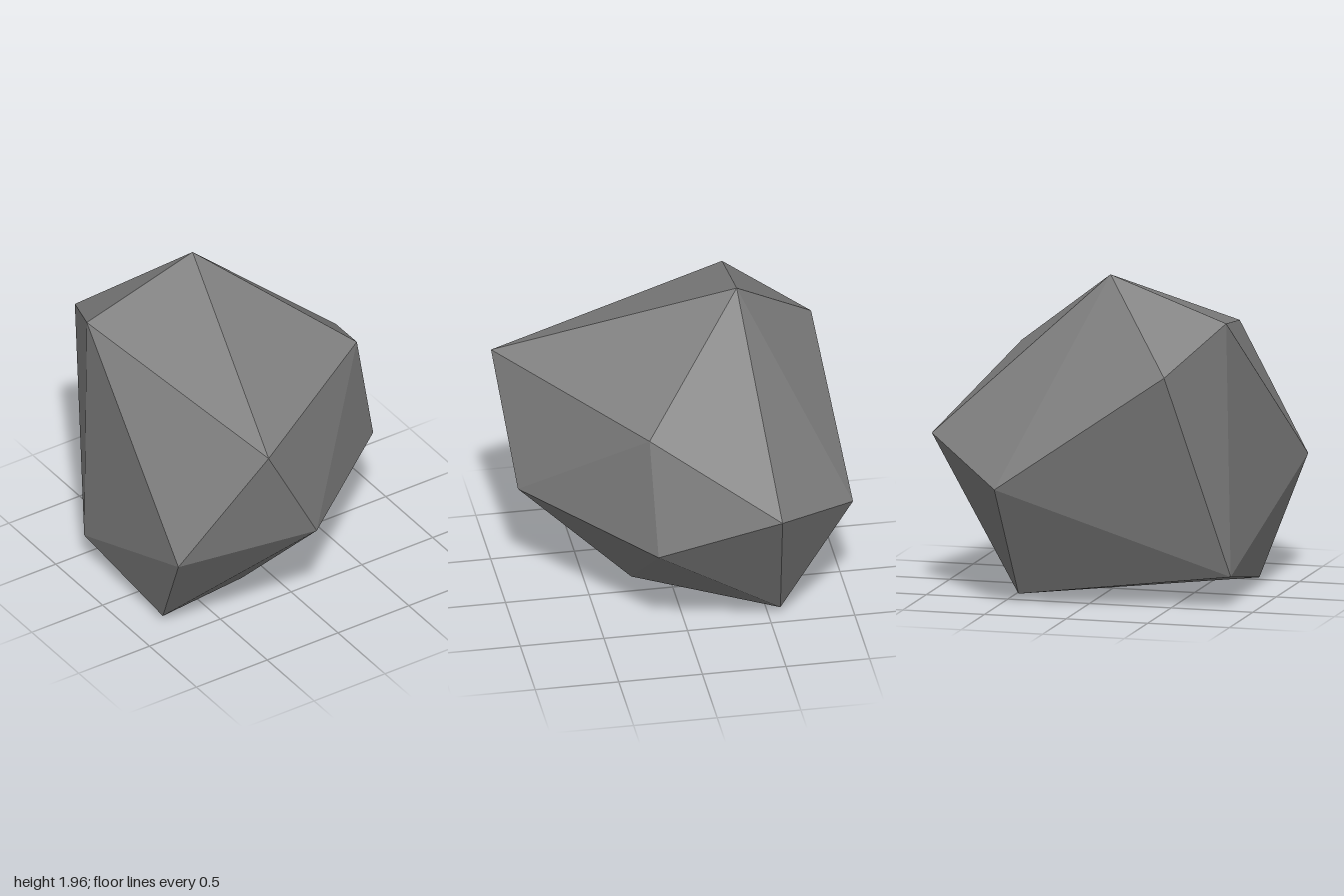
import * as THREE from 'three';
import { ConvexGeometry } from 'three/addons/geometries/ConvexGeometry.js';

export function createModel() {
  const group = new THREE.Group();
  group.name = 'rock';
  const stone = new THREE.MeshStandardMaterial({ color: 0x808080 });
  stone.name = 'stone grey';
  stone.flatShading = true;

  // Corners of the faceted boulder, from the peak down to the base
  const corners = [
    [-0.10, 1.96, -0.40], // peak
    [-0.82, 1.71, -0.44], // shoulder
    [-0.58, 1.46, -0.93],
    [-0.49, 1.45, 1.00],
    [0.63, 1.41, 0.25],
    [0.97, 0.97, -0.485], // waist
    [0.44, 0.75, -1.00],
    [-0.975, 0.72, 0.77],
    [-0.09, 0.72, 0.91],
    [0.765, 0.685, 0.22],
    [-0.845, 0.19, -0.43], // base
    [-0.80, 0.045, 0.34],
    [-0.16, 0.00, 0.22],
    [0.415, 0.05, -0.57],
  ].map((c) => new THREE.Vector3(...c));

  // Flat facets wrapped around the corners
  const boulder = new THREE.Mesh(new ConvexGeometry(corners), stone);
  boulder.name = 'boulder';
  group.add(boulder);
  return group;
}
